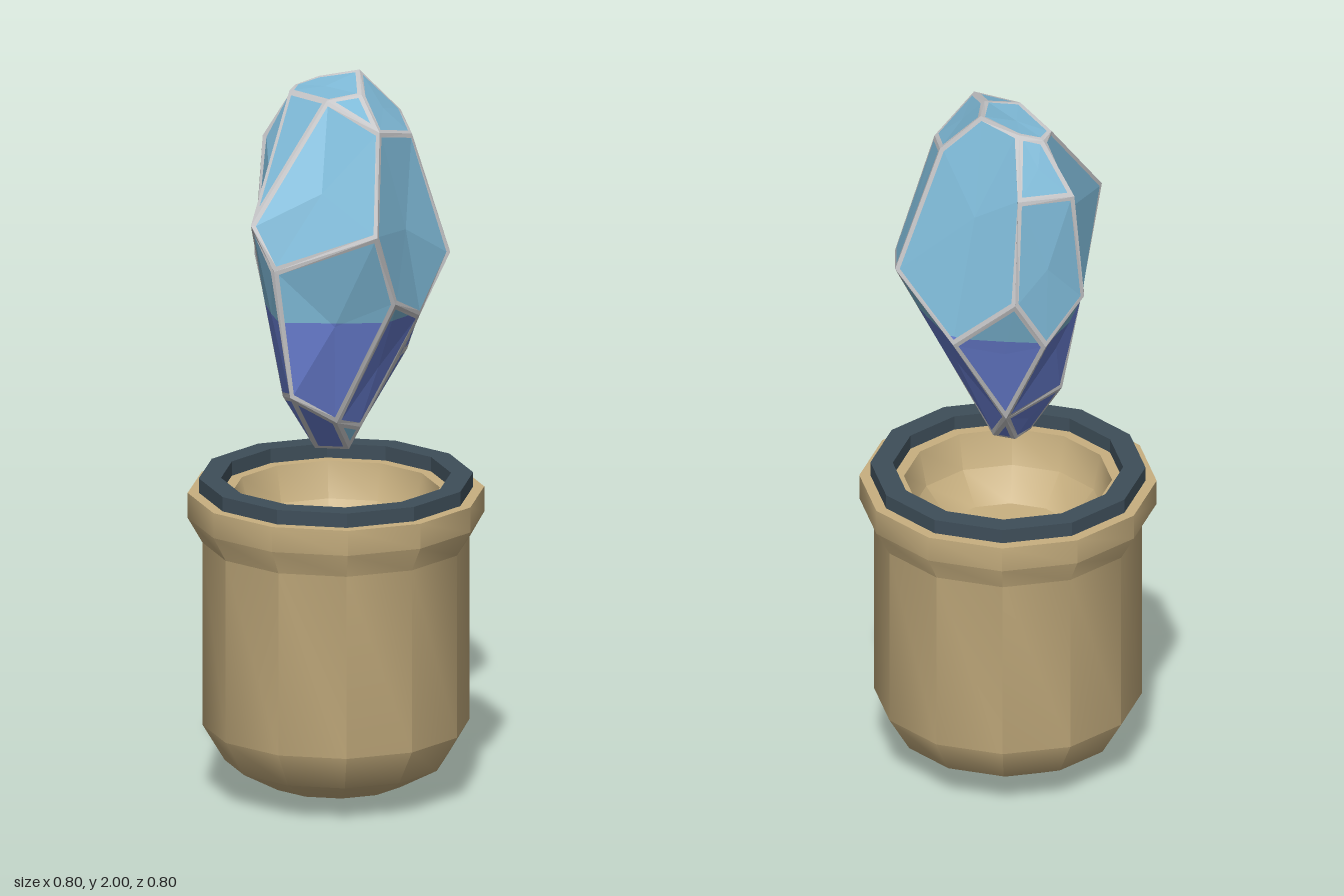
import * as THREE from 'three';
import { toCreasedNormals } from 'three/addons/utils/BufferGeometryUtils.js';

const mat = (name, color, side = THREE.FrontSide) => {
  const m = new THREE.MeshStandardMaterial({ color, side });
  m.name = name;
  return m;
};

// Twelve-sided turned part from [radius, height] pairs
function turned(name, profile, material, crease) {
  const points = profile.map(([r, y]) => new THREE.Vector2(r, y));
  const geo = toCreasedNormals(new THREE.LatheGeometry(points, 12), crease);
  const mesh = new THREE.Mesh(geo, material);
  mesh.name = name;
  return mesh;
}

// Crystal corners, from the top cap down to the foot
const corners = [
  [-.12, 1.95, -.07], [-.10, 1.95, -.125], [-.035, 1.97, -.135],
  [.07, 2, -.085], [.065, 1.97, .055], [-.03, 1.96, .07],
  [.1, 1.91, .22], [.2, 1.86, .06], [.18, 1.89, -.07], [-.035, 1.81, -.22],
  [.085, 1.65, .34], [-.245, 1.65, .195], [-.185, 1.53, .23],
  [.305, 1.52, .04], [.3, 1.53, -.09], [-.03, 1.52, -.27], [-.185, 1.8, -.16],
  [.14, 1.44, .26], [.215, 1.37, .13], [.17, 1.26, .10], [.19, 1.25, .03],
  [.14, 1.36, -.2], [-.21, 1.48, -.13], [-.11, 1.37, -.22], [-.2, 1.42, .02],
  [-.01, 1.08, .15], [.06, 1.05, .09], [-.14, 1.17, .21],
  [0, 1.1, -.13], [-.145, 1.12, .02],
  [-.06, .98, .04], [.03, .98, .06], [.04, .98, 0], [-.02, .98, -.02],
].map((c) => new THREE.Vector3(...c));

// Crystal facets as loops of corners
const facets = [
  [0, 1, 2, 3, 4, 5], [4, 5, 6], [3, 4, 6, 7, 8], [0, 5, 11],
  [5, 6, 10, 12, 11], [7, 8, 14, 13], [6, 7, 13, 18, 17, 10],
  [3, 8, 14, 21, 15, 9, 2], [1, 2, 9, 16], [0, 11, 24, 22, 16, 1],
  [10, 17, 25, 27, 12], [17, 18, 26, 25], [13, 14, 20, 19, 18],
  [18, 19, 26], [19, 20, 32, 26], [14, 21, 28, 32, 20], [21, 15, 23, 28],
  [15, 9, 16, 22, 23], [22, 24, 29, 28, 23], [11, 12, 27, 29, 24],
  [25, 26, 31], [26, 32, 31], [27, 25, 31, 30], [27, 30, 29],
  [29, 30, 33, 28], [28, 33, 32], [30, 31, 32, 33],
];

const middle = (loop) => loop.reduce((s, p) => s.add(p), new THREE.Vector3()).divideScalar(loop.length);

// Facet loop ordered so that it faces away from the crystal's core
function outward(loop) {
  const normal = new THREE.Vector3();
  loop.forEach((p, i) => normal.add(p.clone().cross(loop[(i + 1) % loop.length])));
  const out = middle(loop).sub(new THREE.Vector3(0.02, 1.5, 0));
  return normal.dot(out) < 0 ? loop.slice().reverse() : loop;
}

// Same loop drawn in by an even border
function inset(loop, width) {
  const n = loop.length, mid = middle(loop);
  const shortest = Math.min(...loop.map((p, i) => p.distanceTo(loop[(i + 1) % n])));
  const w = Math.min(width, shortest * 0.2);
  return loop.map((p, i) => {
    const a = loop[(i + n - 1) % n].clone().sub(p).normalize();
    const b = loop[(i + 1) % n].clone().sub(p).normalize();
    const sine = Math.max(a.clone().cross(b).length(), 0.05);
    const shift = a.add(b).multiplyScalar(w / sine);
    if (shift.dot(mid.clone().sub(p)) < 0) shift.negate();
    return p.clone().add(shift);
  });
}

// Part of a convex loop above (sign 1) or below (sign -1) a height
function clip(loop, height, sign) {
  const kept = [];
  loop.forEach((p, i) => {
    const q = loop[(i + 1) % loop.length];
    const dp = (p.y - height) * sign, dq = (q.y - height) * sign;
    if (dp >= 0) kept.push(p);
    if (dp * dq < 0) kept.push(p.clone().lerp(q, dp / (dp - dq)));
  });
  return kept;
}

function fan(target, loop) {
  for (let i = 1; i < loop.length - 1; i++) target.push(loop[0], loop[i], loop[i + 1]);
}

function flatMesh(name, points, material) {
  const geo = new THREE.BufferGeometry().setFromPoints(points);
  geo.computeVertexNormals();
  const mesh = new THREE.Mesh(geo, material);
  mesh.name = name;
  return mesh;
}

function createCrystal() {
  const upper = [], lower = [], edges = [];
  for (const facet of facets) {
    const loop = outward(facet.map((i) => corners[i]));
    const inner = inset(loop, 0.012);
    const mid = middle(inner);
    const foot = loop.every((p) => p.y < 1.09);
    inner.forEach((p, i) => {
      const j = (i + 1) % loop.length;
      // pale border along each edge
      fan(edges, [loop[i], loop[j], inner[j], p]);
      // facet centre, changing colour at one height
      const tri = [mid, p, inner[j]];
      if (foot) fan(upper, tri);
      else {
        fan(upper, clip(tri, 1.385, 1));
        fan(lower, clip(tri, 1.385, -1));
      }
    });
  }
  const crystal = new THREE.Group();
  crystal.name = 'crystal';
  crystal.add(
    flatMesh('crystalUpperFacets', upper, mat('sky blue', 0x80bcda)),
    flatMesh('crystalLowerFacets', lower, mat('indigo', 0x6a80d4)),
    flatMesh('crystalEdges', edges, mat('pale grey', 0xc9c9cb)),
  );
  return crystal;
}

export function createModel() {
  const model = new THREE.Group();
  model.name = 'crystalHolder';

  // Cup with a rounded foot, flared collar and shallow bowl
  model.add(turned('cup', [
    [0, 0], [0.19, 0.04], [0.3, 0.1], [0.36, 0.2], [0.36, 0.71],
    [0.4, 0.78], [0.4, 0.85], [0.28, 0.85], [0.26, 0.75], [0.19, 0.67], [0, 0.66],
  ], mat('tan', 0xc8b080), 0.56));

  // Dark band lying on the collar
  model.add(turned('rimBand', [
    [0.31, 0.85], [0.37, 0.85], [0.37, 0.89], [0.31, 0.89], [0.31, 0.85],
  ], mat('dark slate', 0x3e4e59), 0.3));

  model.add(createCrystal());
  return model;
}
